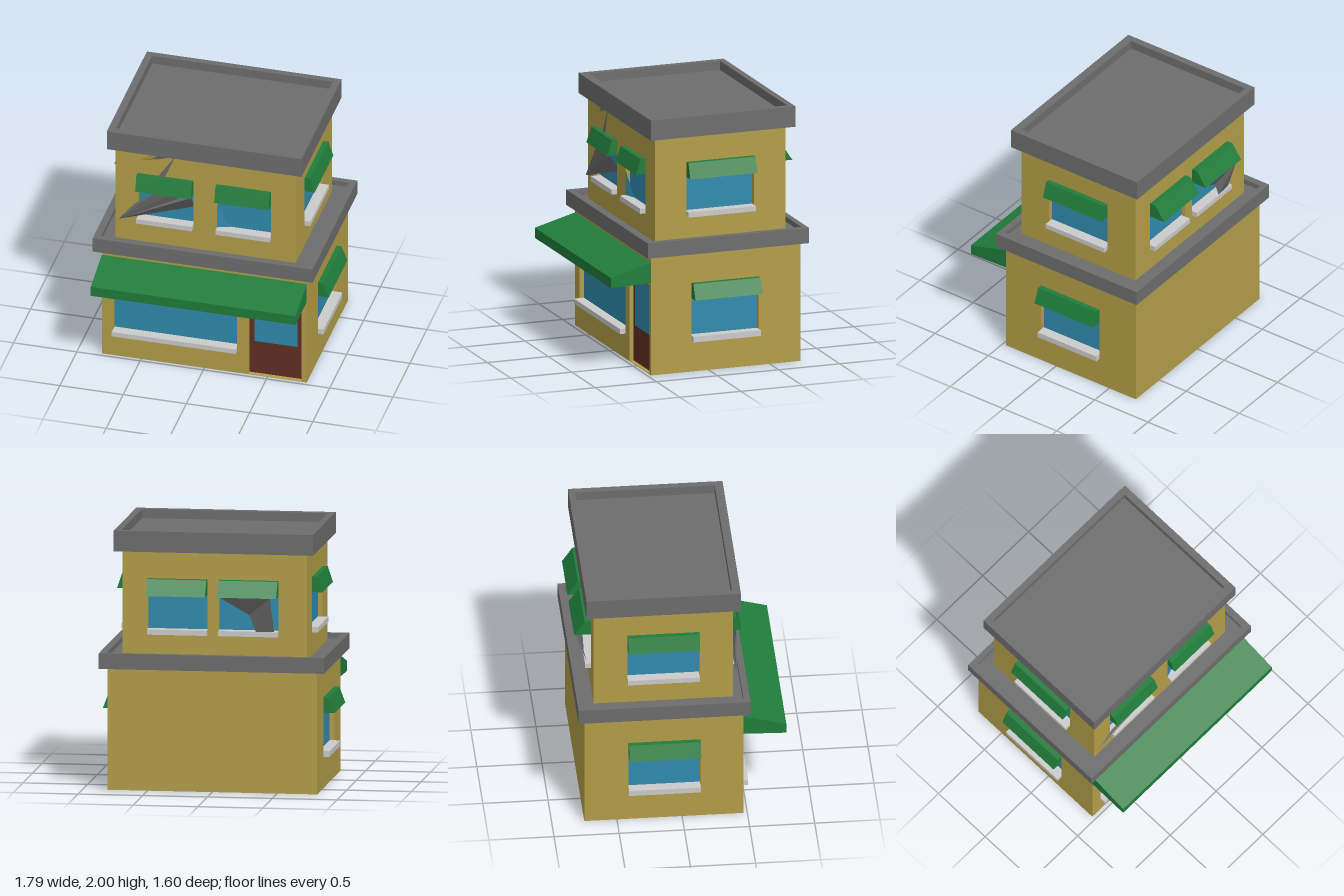
import * as THREE from 'three';

const mat = (color) => new THREE.MeshStandardMaterial({ color, flatShading: true, side: THREE.DoubleSide });
const WALL = mat(0xb39e48), GREY = mat(0x6d6d6d), SILL = mat(0xcccccc);
const GREEN = mat(0x207d3b), GLASS = mat(0x308bae), DOOR = mat(0x622f24);
const T = 0.045; // depth of the window recesses

function add(parent, name, geometry, material) {
  const mesh = new THREE.Mesh(geometry, material);
  mesh.name = name;
  parent.add(mesh);
  return mesh;
}

// Box given by its limits
function box(parent, name, material, x0, x1, y0, y1, z0, z1) {
  const m = add(parent, name, new THREE.BoxGeometry(x1 - x0, y1 - y0, z1 - z0), material);
  m.position.set((x0 + x1) / 2, (y0 + y1) / 2, (z0 + z1) / 2);
  return m;
}

function rect(x0, x1, y0, y1, Type = THREE.Shape) {
  return new Type([[x0, y0], [x1, y0], [x1, y1], [x0, y1]].map((p) => new THREE.Vector2(...p)));
}

// Thin flat-faced surface: each polygon is split as a fan
function surface(parent, name, material, polygons) {
  const pos = [];
  for (const p of polygons) {
    for (let i = 1; i < p.length - 1; i++) pos.push(...p[0], ...p[i], ...p[i + 1]);
  }
  const g = new THREE.BufferGeometry();
  g.setAttribute('position', new THREE.Float32BufferAttribute(pos, 3));
  g.computeVertexNormals();
  return add(parent, name, g, material);
}

// Hollow awning, open below; profile runs from wall top to wall bottom as [out, y]
function awning(parent, name, x0, x1, profile) {
  const end = (x) => profile.map(([o, y]) => [x, y, o]);
  const a = end(x0), b = end(x1), faces = [a, b];
  for (let i = 0; i < profile.length - 2; i++) faces.push([a[i], b[i], b[i + 1], a[i + 1]]);
  surface(parent, name, GREEN, faces);
}

// Fittings of one opening, in wall coordinates (z points outwards)
function fitOpening(wall, { x0, x1, y0, y1, door, sill = 0.04, hood, top = 0.04, drop = 0.12 }) {
  if (door) {
    box(wall, 'door', DOOR, x0, x1, y0, y1, -T, -T + 0.012);
    box(wall, 'doorGlass', GLASS, x0 + 0.04, x1 - 0.04, 0.29, y1 - 0.03, -T, -T + 0.016);
    return;
  }
  box(wall, 'windowGlass', GLASS, x0, x1, y0, y1, -T, -T + 0.008);
  box(wall, 'windowSill', SILL, x0, x1, y0, y0 + sill, -T, 0.045);
  if (hood) awning(wall, 'windowAwning', x0, x1, [[0, y1], [top, y1], [hood, y1 - drop], [0, y1 - drop]]);
}

// Storey: solid core plus four pierced wall panels
function storey(parent, name, [x0, x1], [y0, y1], [z0, z1], openings) {
  const g = new THREE.Group();
  g.name = name;
  parent.add(g);
  box(g, 'core', WALL, x0 + T, x1 - T, y0, y1, z0 + T, z1 - T);
  const sides = [
    ['front', 0, 0, z1, x0, x1],
    ['back', Math.PI, 0, z0, -x1, -x0],
    ['right', Math.PI / 2, x1, 0, -z1 + T, -z0 - T],
    ['left', -Math.PI / 2, x0, 0, z0 + T, z1 - T],
  ];
  for (const [side, turn, px, pz, a, b] of sides) {
    const wall = new THREE.Group();
    wall.name = side + 'Wall';
    wall.position.set(px, 0, pz);
    wall.rotation.y = turn;
    g.add(wall);
    const shape = rect(a, b, y0, y1);
    for (const o of openings[side] || []) {
      shape.holes.push(rect(o.x0, o.x1, o.y0, o.y1, THREE.Path));
      fitOpening(wall, o);
    }
    const panel = new THREE.ExtrudeGeometry(shape, { depth: T, bevelEnabled: false });
    add(wall, 'wallPanel', panel.translate(0, 0, -T), WALL);
  }
}

// Parapet: raised rim around a sunken roof
function parapet(parent, name, outer, inner, y0, y1, floor) {
  const g = new THREE.Group();
  g.name = name;
  parent.add(g);
  const flat = ([x0, x1, z0, z1], Type) => rect(x0, x1, -z1, -z0, Type);
  const shape = flat(outer);
  shape.holes.push(flat(inner, THREE.Path));
  const rim = new THREE.ExtrudeGeometry(shape, { depth: y1 - y0, bevelEnabled: false });
  add(g, 'rim', rim.rotateX(-Math.PI / 2).translate(0, y0, 0), GREY);
  box(g, 'roof', GREY, inner[0], inner[1], y0, floor, inner[2], inner[3]);
}

export function createModel() {
  const model = new THREE.Group();
  model.name = 'shopBuilding';

  // Ground floor with shop window and door
  const low = { y0: 0.24, y1: 0.70, hood: 0.085, sill: 0.045 };
  storey(model, 'groundFloor', [-0.81, 0.81], [0, 0.94], [-0.75, 0.47], {
    front: [
      { x0: -0.72, x1: 0.26, y0: 0.195, y1: 0.70 },
      { x0: 0.35, x1: 0.77, y0: 0.004, y1: 0.70, door: true },
    ],
    right: [{ ...low, x0: -0.14, x1: 0.41 }],
    left: [{ ...low, x0: -0.41, x1: 0.14 }],
  });
  awning(model, 'shopAwning', -0.81, 0.81, [[0.47, 0.89], [0.80, 0.80], [0.80, 0.72], [0.47, 0.73]]);
  parapet(model, 'lowerLedge', [-0.87, 0.87, -0.80, 0.52], [-0.815, 0.815, -0.755, 0.47], 0.94, 1.06, 1.02);

  // Upper floor
  const up = { y0: 1.20, y1: 1.63, hood: 0.08 };
  storey(model, 'upperFloor', [-0.72, 0.705], [1.0, 1.86], [-0.67, 0.40], {
    front: [{ ...up, x0: -0.545, x1: -0.105 }, { ...up, x0: 0.08, x1: 0.51 }],
    back: [
      { ...up, x0: -0.51, x1: -0.05, hood: 0.13, top: 0.05 },
      { ...up, x0: 0.04, x1: 0.50, hood: 0.13, top: 0.05 },
    ],
    right: [{ ...up, x0: -0.14, x1: 0.41 }],
    left: [{ ...up, x0: -0.41, x1: 0.14 }],
  });
  parapet(model, 'upperParapet', [-0.775, 0.765, -0.73, 0.455], [-0.72, 0.71, -0.68, 0.39], 1.84, 2.0, 1.93);

  // Torn cloth and loose shards
  surface(model, 'frontTornCloth', GREY, [
    [[-0.69, 1.21, 0.43], [-0.105, 1.38, 0.37], [-0.105, 1.51, 0.46], [-0.22, 1.46, 0.42]],
    [[-0.69, 1.21, 0.43], [-0.22, 1.46, 0.42], [-0.27, 1.51, 0.45], [-0.39, 1.51, 0.46], [-0.56, 1.37, 0.43]],
  ]);
  surface(model, 'backTornCloth', GREY, [
    [[-0.06, 1.51, -0.79], [-0.45, 1.51, -0.79], [-0.28, 1.37, -0.715]],
    [[-0.45, 1.51, -0.79], [-0.47, 1.24, -0.70], [-0.33, 1.24, -0.71], [-0.28, 1.37, -0.715]],
  ]);
  surface(model, 'wallShard', WALL, [[[-0.53, 1.75, 0.405], [-0.38, 1.78, 0.405], [-0.24, 1.84, 0.42], [-0.42, 1.84, 0.42]]]);
  surface(model, 'greyShards', GREY, [
    [[-0.43, 1.78, 0.412], [-0.24, 1.84, 0.43], [-0.36, 1.84, 0.43]],
    [[-0.24, 1.84, 0.42], [-0.33, 1.63, 0.41], [-0.39, 1.62, 0.41]],
  ]);
  surface(model, 'glassShards', GLASS, [
    [[0.08, 1.44, 0.40], [0.08, 1.235, 0.40], [0.18, 1.235, 0.365]],
    [[-0.86, 0.58, 0.05], [-0.81, 0.58, 0.05], [-0.81, 0.54, -0.05]],
  ]);
  return model;
}
